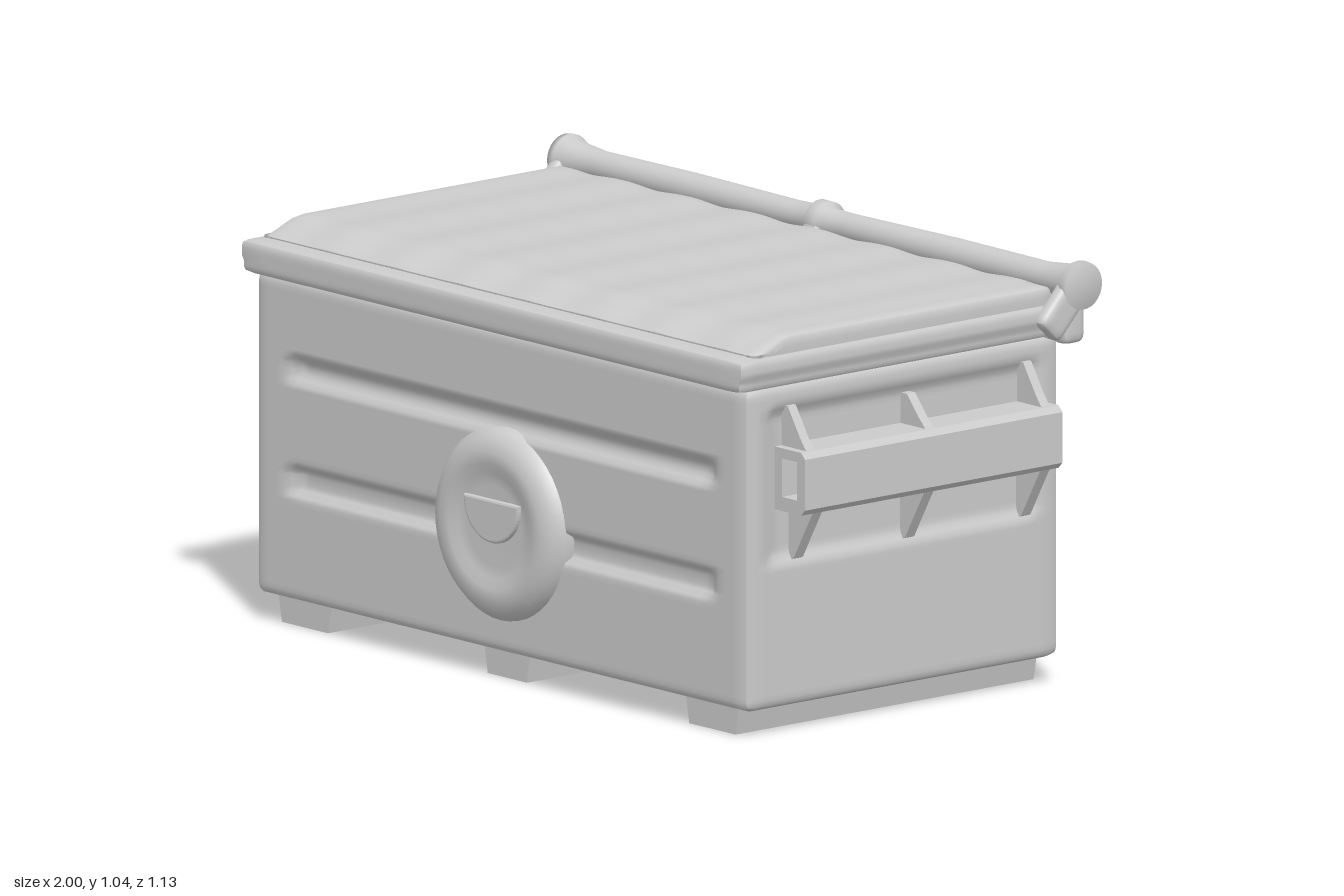
import * as THREE from 'three';

const mat = new THREE.MeshStandardMaterial({ color: 0xcccccc });
const twoSided = new THREE.MeshStandardMaterial({ color: 0xcccccc, side: THREE.DoubleSide });
const { clamp, smoothstep } = THREE.MathUtils;

function add(group, name, geometry, x = 0, y = 0, z = 0, material = mat) {
  const mesh = new THREE.Mesh(geometry, material);
  mesh.name = name;
  mesh.position.set(x, y, z);
  group.add(mesh);
  return mesh;
}

// Finely divided box with rounded edges; shape(p) may then move each point.
function softBox(w, h, d, r, segs, shape) {
  const g = new THREE.BoxGeometry(w, h, d, ...segs);
  const pos = g.attributes.position;
  const half = [w / 2 - r, h / 2 - r, d / 2 - r];
  const p = new THREE.Vector3(), core = new THREE.Vector3();
  for (let i = 0; i < pos.count; i++) {
    p.fromBufferAttribute(pos, i);
    core.set(...p.toArray().map((v, k) => clamp(v, -half[k], half[k])));
    p.sub(core).normalize().multiplyScalar(r).add(core);
    if (shape) shape(p);
    pos.setXYZ(i, p.x, p.y, p.z);
  }
  g.computeVertexNormals();
  return g;
}

// 1 inside [a, b], falling to 0 over the width e
const band = (v, a, b, e) => smoothstep(v, a - e, a) * (1 - smoothstep(v, b, b + e));

// Flat outline extruded and centred along z
function slab(points, depth, hole) {
  const s = new THREE.Shape(points.map(([x, y]) => new THREE.Vector2(x, y)));
  if (hole) s.holes.push(new THREE.Path(hole.map(([x, y]) => new THREE.Vector2(x, y))));
  const g = new THREE.ExtrudeGeometry(s, { depth, bevelEnabled: false });
  return g.translate(0, 0, -depth / 2);
}

export function createModel() {
  const model = new THREE.Group();
  model.name = 'wasteContainer';

  // Body: pressed grooves across front and back, shallow recess on the sides
  const bodyY = 0.465, bodyZ = 0.025;
  add(model, 'body', softBox(1.81, 0.8, 1.0, 0.025, [72, 64, 32], p => {
    const y = p.y + bodyY;
    if (Math.abs(p.z) > 0.47) {
      const groove = Math.max(band(y, 0.625, 0.655, 0.022), band(y, 0.345, 0.385, 0.022));
      p.z -= Math.sign(p.z) * 0.025 * groove * band(p.x, -0.75, 0.75, 0.05);
    }
    if (Math.abs(p.x) > 0.87) {
      p.x -= Math.sign(p.x) * 0.018 * band(y, 0.45, 0.78, 0.04) * band(p.z, -0.4, 0.4, 0.04);
    }
  }), 0, bodyY, bodyZ);

  // Skids under the floor
  const skid = slab([[-0.085, 0], [0.085, 0], [0.1, 0.08], [-0.1, 0.08]], 0.95);
  for (const [name, x] of [['rightSkid', -0.755], ['middleSkid', -0.01], ['leftSkid', 0.745]]) {
    const m = add(model, name, skid, x, 0, 0.02);
    if (x > -0.1 && x < 0.1) m.scale.x = 0.85;
  }

  // Lid: overhanging rim and a gently rippled, sloping top
  const lid = new THREE.Group();
  lid.name = 'lid';
  model.add(lid);
  add(lid, 'lidRim', softBox(1.85, 0.085, 1.03, 0.02, [40, 8, 40], p => {
    if (p.y < 0) p.x *= 0.992;
  }), 0, 0.9, 0.045);
  add(lid, 'lidTop', softBox(1.81, 0.08, 0.96, 0.02, [90, 6, 40], p => {
    if (p.y > 0) {
      p.y -= 0.035 * smoothstep(p.z, 0.36, 0.48);
      p.y += 0.003 * Math.sin(p.x * 26) * band(p.x, -0.8, 0.8, 0.08) - 0.002;
    }
  }), 0, 0.946, 0.025);

  // Hinge: ledge, bar with collars, and lumps along the back
  const hinge = new THREE.Group();
  hinge.name = 'hinge';
  model.add(hinge);
  add(hinge, 'hingeLedge', softBox(1.82, 0.12, 0.09, 0.03, [60, 10, 8], p => {
    if (p.z < 0) p.z += 0.012 * Math.cos(p.x * 13);
    if (p.y < 0) p.y += 0.012 * Math.cos(p.x * 13);
  }), 0, 0.895, -0.465);
  const barProfile = [[0, -0.955], [0.058, -0.955], [0.06, -0.935], [0.046, -0.9], [0.038, -0.82],
    [0.04, -0.48], [0.036, -0.1], [0.038, -0.03], [0.052, -0.018], [0.052, 0.018], [0.038, 0.03],
    [0.036, 0.1], [0.04, 0.48], [0.038, 0.82], [0.046, 0.9], [0.06, 0.935], [0.058, 0.955], [0, 0.955]]
    .map(([r, h]) => new THREE.Vector2(r, h));
  const bar = add(hinge, 'hingeBar', new THREE.LatheGeometry(barProfile, 28), 0, 0.983, -0.507);
  bar.rotation.z = Math.PI / 2;
  for (const s of [-1, 1]) {
    const arm = add(hinge, 'hingeArm', softBox(0.045, 0.16, 0.085, 0.02, [6, 12, 8]), s * 0.93, 0.935, -0.46);
    arm.rotation.x = -0.75;
    add(hinge, 'hingeFoot', softBox(0.06, 0.11, 0.07, 0.02, [6, 8, 6]), s * 0.915, 0.895, -0.49);
    const lump = add(hinge, 'hingeLump', new THREE.SphereGeometry(0.04, 20, 14), s * 0.48, 0.94, -0.51);
    lump.scale.set(1.8, 1.2, 0.85);
  }
  add(hinge, 'hingeWeb', softBox(0.06, 0.12, 0.07, 0.02, [6, 8, 6]), 0, 0.93, -0.485);

  // Fork pockets: hollow sleeves on both sides, held by gussets above and below
  const sleeve = slab([[0.88, 0.555], [0.985, 0.555], [1, 0.57], [1, 0.695], [0.985, 0.71], [0.88, 0.71]], 0.82,
    [[0.915, 0.59], [0.915, 0.685], [0.97, 0.685], [0.97, 0.59]]);
  const upper = slab([[0.88, 0.7], [0.985, 0.7], [0.955, 0.74], [0.91, 0.81], [0.88, 0.81]], 0.026);
  const lower = slab([[0.88, 0.42], [0.905, 0.43], [0.945, 0.5], [0.98, 0.56], [0.88, 0.56]], 0.03);
  for (const s of [-1, 1]) {
    const pocket = new THREE.Group();
    pocket.name = s > 0 ? 'leftForkPocket' : 'rightForkPocket';
    pocket.rotation.y = s > 0 ? 0 : Math.PI;
    model.add(pocket);
    add(pocket, 'sleeve', sleeve, 0, 0, s * 0.01, twoSided);
    for (const z of [-0.365, 0.005, 0.385]) {
      const top = add(pocket, 'upperGusset', upper, 0, 0, s * z);
      if (z === 0.005) { top.scale.y = 0.75; top.position.y = 0.178; }
      add(pocket, 'lowerGusset', lower, 0, 0, s * (z > 0.1 ? z - 0.025 : z));
    }
  }

  // Round front badge with a dished face and a plain half-disc relief
  const badge = new THREE.Group();
  badge.name = 'frontBadge';
  badge.position.set(0.005, 0.385, 0.5);
  model.add(badge);
  const badgeProfile = [[0.238, 0], [0.235, 0.03], [0.215, 0.052], [0.185, 0.065], [0.155, 0.064],
    [0.13, 0.054], [0.1, 0.05], [0, 0.05]].map(([r, h]) => new THREE.Vector2(r, h));
  const disc = add(badge, 'badgeDisc', new THREE.LatheGeometry(badgeProfile, 48));
  disc.rotation.x = Math.PI / 2;
  const halfDisc = new THREE.Shape().absarc(0, 0, 0.095, Math.PI, 2 * Math.PI, false);
  add(badge, 'badgeRelief', new THREE.ExtrudeGeometry(halfDisc, {
    depth: 0.006, bevelSize: 0.006, bevelThickness: 0.006, bevelSegments: 2, curveSegments: 20,
  }), 0, 0.06, 0.05);

  return model;
}
